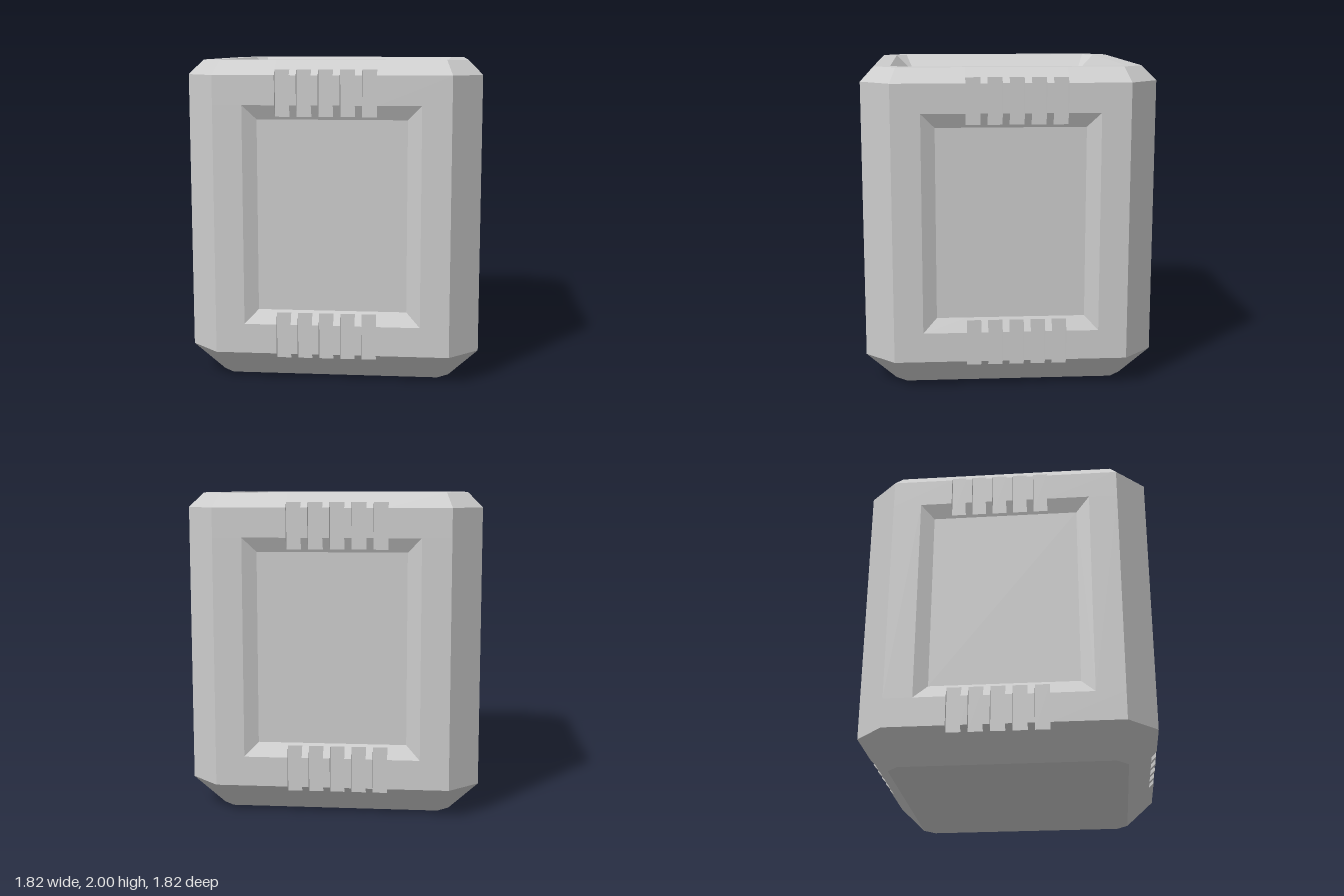
import * as THREE from 'three';

const shellGrey = new THREE.MeshStandardMaterial({ color: 0xcccccc });

// Collects flat convex polygons, each turned to face its outward direction.
class Facets {
  constructor() { this.positions = []; }
  add(points, outward) {
    const p = points.map((q) => new THREE.Vector3(...q));
    const normal = p[1].clone().sub(p[0]).cross(p[2].clone().sub(p[0]));
    if (normal.dot(new THREE.Vector3(...outward)) < 0) p.reverse();
    for (let i = 1; i < p.length - 1; i++) {
      for (const v of [p[0], p[i], p[i + 1]]) this.positions.push(v.x, v.y, v.z);
    }
  }
  mesh(name) {
    const geometry = new THREE.BufferGeometry();
    geometry.setAttribute('position', new THREE.Float32BufferAttribute(this.positions, 3));
    geometry.computeVertexNormals();
    const mesh = new THREE.Mesh(geometry, shellGrey);
    mesh.name = name;
    return mesh;
  }
}

// Square with cut corners; even edges are sides, odd edges are corner cuts
const octagon = (half, cut, y) => [
  [-cut, y, half], [cut, y, half], [half, y, cut], [half, y, -cut],
  [cut, y, -half], [-cut, y, -half], [-half, y, -cut], [-half, y, cut],
];

// Main dimensions
const WALL = 0.908, CORNER = 0.725;
const PANEL_OUT = 0.545, PANEL_IN = 0.46, PANEL_DEPTH = 0.867;
const SLOT_DEPTH = 0.875, SLOT_START = -0.345, SLOT_STEP = 0.1325, SLOT_WIDTH = 0.09;
const SLOT_END = SLOT_START + 4 * SLOT_STEP + SLOT_WIDTH;

// [height, distance from the centre] profiles, from panel floor out to the rim
const ends = [
  { floor: [1.642, PANEL_DEPTH], lip: [1.73, WALL], edge: [1.91, WALL], rim: [2, 0.82], rimCut: 0.69 },
  { floor: [0.457, PANEL_DEPTH], lip: [0.37, WALL], edge: [0.185, WALL], rim: [0, 0.725], rimCut: 0.655 },
];

// Point on a profile segment where it meets the slot floor
function atSlotDepth(p, q) {
  const t = (SLOT_DEPTH - p[1]) / (q[1] - p[1]);
  return [p[0] + (q[0] - p[0]) * t, SLOT_DEPTH];
}

// One side wall: sunken panel, chamfers and two rows of five slots
function buildSide(name, place) {
  const wall = new Facets(), slots = new Facets(), panel = new Facets();
  const out = place(0, 0, 1);
  const at = (u, [y, d]) => place(u, y, d);
  const strip = (target, u0, p, u1, q) => // band from profile point p to q
    target.add([at(u0[0], p), at(u0[1], p), at(u1[1], q), at(u1[0], q)], out);

  for (const { floor, lip, edge, rim, rimCut } of ends) {
    const slotIn = atSlotDepth(floor, lip), slotOut = atSlotDepth(edge, rim);
    // Plain areas on either side of the slots
    for (const [s, e] of [[-1, SLOT_START], [1, SLOT_END]]) {
      strip(panel, [e, s * PANEL_IN], floor, [e, s * PANEL_OUT], lip);
      strip(wall, [e, s * CORNER], lip, [e, s * CORNER], edge);
      strip(wall, [e, s * CORNER], edge, [e, s * rimCut], rim);
    }
    // Slope and chamfer remaining beyond the slots
    const row = [SLOT_START, SLOT_END];
    strip(panel, row, floor, row, slotIn);
    strip(wall, row, slotOut, row, rim);
    for (let i = 0; i < 5; i++) {
      const a = SLOT_START + i * SLOT_STEP, b = a + SLOT_WIDTH;
      strip(slots, [a, b], slotIn, [a, b], slotOut);
      for (const [u, dir] of [[a, 1], [b, -1]]) {
        slots.add([slotIn, lip, edge, slotOut].map((p) => at(u, p)), place(dir, 0, 0));
      }
      // Rib up to the next slot
      if (i < 4) {
        const rib = [b, a + SLOT_STEP];
        strip(slots, rib, slotIn, rib, lip);
        strip(slots, rib, lip, rib, edge);
        strip(slots, rib, edge, rib, slotOut);
      }
    }
  }

  // Uprights beside the panel, its side slopes and its floor
  const [top, bottom] = ends;
  for (const s of [-1, 1]) {
    const upright = [s * PANEL_OUT, s * CORNER];
    strip(wall, upright, bottom.lip, upright, top.lip);
    panel.add([
      at(s * PANEL_OUT, bottom.lip), at(s * PANEL_OUT, top.lip),
      at(s * PANEL_IN, top.floor), at(s * PANEL_IN, bottom.floor),
    ], out);
  }
  const inner = [-PANEL_IN, PANEL_IN];
  strip(panel, inner, bottom.floor, inner, top.floor);

  const group = new THREE.Group();
  group.name = name;
  group.add(wall.mesh('wallFrame'), slots.mesh('slotRows'), panel.mesh('sunkenPanel'));
  return group;
}

// Upright corner cuts with their top and bottom chamfers
function buildCorners() {
  const facets = new Facets();
  const rings = [octagon(0.725, 0.655, 0), octagon(WALL, CORNER, 0.185),
    octagon(WALL, CORNER, 1.91), octagon(0.82, 0.69, 2)];
  for (let r = 0; r < 3; r++) {
    for (let i = 1; i < 8; i += 2) {
      const j = (i + 1) % 8, low = rings[r], high = rings[r + 1];
      facets.add([low[i], low[j], high[j], high[i]], [low[i][0], 0, low[i][2]]);
    }
  }
  return facets.mesh('corners');
}

// Flat rim and sunken tray on top
function buildTop() {
  const rim = new Facets(), tray = new Facets();
  const outer = octagon(0.82, 0.69, 2), lip = octagon(0.725, 0.655, 2);
  const floor = octagon(0.638, 0.615, 1.915);
  for (let i = 0; i < 8; i++) {
    const j = (i + 1) % 8;
    rim.add([outer[i], outer[j], lip[j], lip[i]], [0, 1, 0]);
    tray.add([lip[i], lip[j], floor[j], floor[i]], [0, 1, 0]);
  }
  tray.add(floor, [0, 1, 0]);
  const group = new THREE.Group();
  group.name = 'top';
  group.add(rim.mesh('topRim'), tray.mesh('topTray'));
  return group;
}

function buildBase() {
  const base = new Facets();
  base.add(octagon(0.725, 0.655, 0), [0, -1, 0]);
  return base.mesh('base');
}

export function createModel() {
  const model = new THREE.Group();
  model.name = 'crate';
  model.add(
    buildSide('frontSide', (u, y, d) => [u, y, d]),
    buildSide('backSide', (u, y, d) => [u, y, -d]),
    buildSide('leftSide', (u, y, d) => [d, y, u]),
    buildSide('rightSide', (u, y, d) => [-d, y, u]),
    buildCorners(), buildTop(), buildBase(),
  );
  return model;
}
